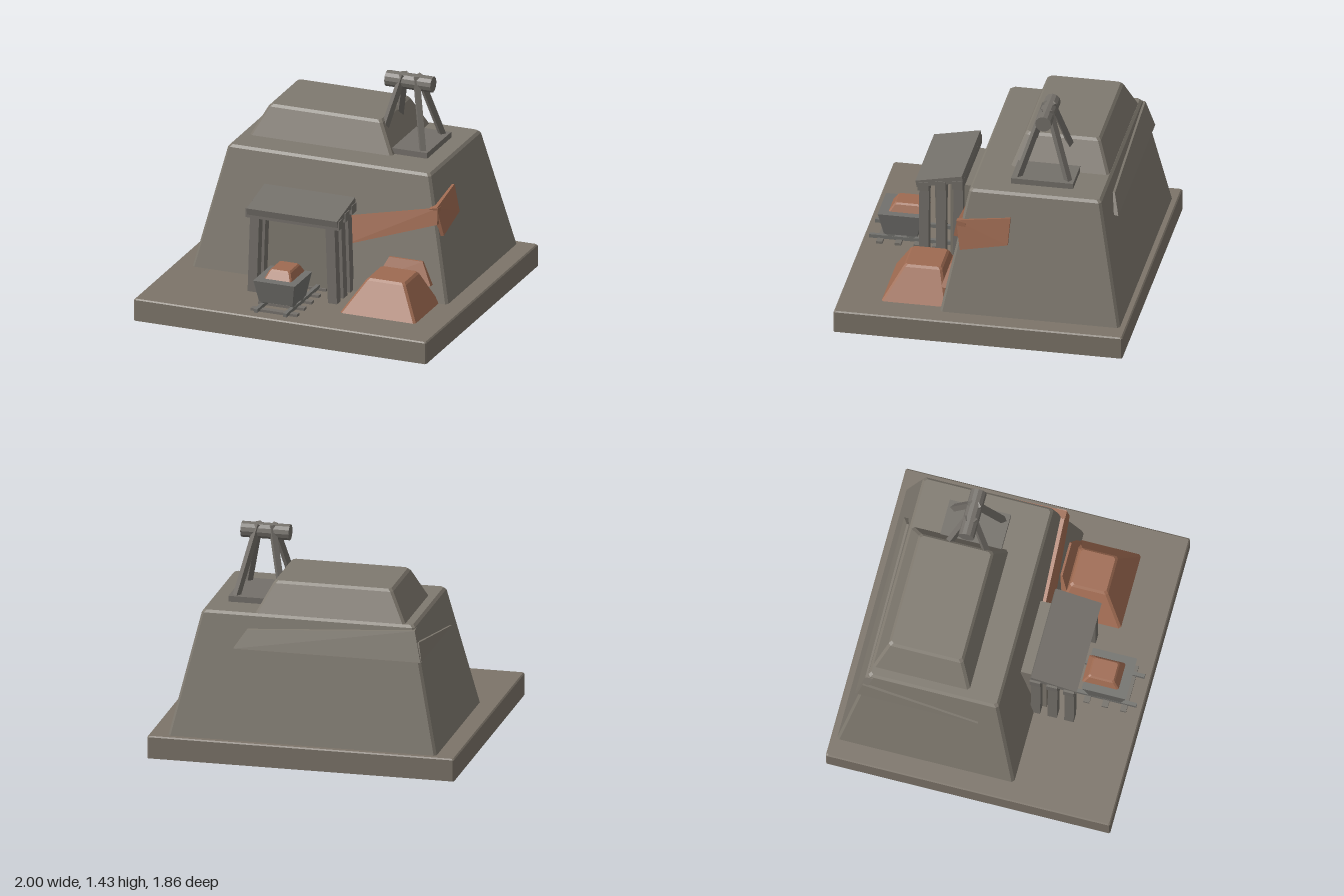
import * as THREE from 'three';
import { ConvexGeometry } from 'three/addons/geometries/ConvexGeometry.js';

const V = (x, y, z) => new THREE.Vector3(x, y, z);

export function createModel() {
  const root = new THREE.Group();
  root.name = 'mine';
  const mat = (name, color) => {
    const m = new THREE.MeshStandardMaterial({ color, flatShading: true });
    m.name = name;
    return m;
  };
  const earth = mat('earth', 0x7c7469);
  const rock = mat('rock', 0x7f796f);
  const timber = mat('timber', 0x74706a);
  const iron = mat('iron', 0x72716d);
  const copper = mat('copper ore', 0x9e6a51);

  const add = (name, geometry, material, parent = root) => {
    const mesh = new THREE.Mesh(geometry, material);
    mesh.name = name;
    parent.add(mesh);
    return mesh;
  };
  const group = (name) => {
    const g = new THREE.Group();
    g.name = name;
    root.add(g);
    return g;
  };
  const box = (name, x0, x1, y0, y1, z0, z1, material, parent) => {
    const m = add(name, new THREE.BoxGeometry(x1 - x0, y1 - y0, z1 - z0), material, parent);
    m.position.set((x0 + x1) / 2, (y0 + y1) / 2, (z0 + z1) / 2);
    return m;
  };

  // Rectangle ring [x0, x1, z0, z1] at height y with chamfered corners
  const ring = ([x0, x1, z0, z1], y, c) => [
    V(x0 + c, y, z0), V(x1 - c, y, z0), V(x1, y, z0 + c), V(x1, y, z1 - c),
    V(x1 - c, y, z1), V(x0 + c, y, z1), V(x0, y, z1 - c), V(x0, y, z0 + c)];
  // Tapered block with a small chamfer round the top and down the corners
  const frustum = (name, bottom, y0, top, y1, b, material, parent) => {
    const inset = [top[0] + b, top[1] - b, top[2] + b, top[3] - b];
    return add(name, new ConvexGeometry([
      ...ring(bottom, y0, b), ...ring(top, y1 - b, b), ...ring(inset, y1, b)]), material, parent);
  };
  // Slab from four outer corners, thickened by an offset vector
  const slab = (name, corners, offset, material, parent) => {
    const pts = corners.map((c) => V(...c));
    return add(name, new ConvexGeometry([...pts, ...pts.map((p) => p.clone().add(offset))]), material, parent);
  };
  // Square beam between two points
  const beam = (name, a, b, w, material, parent) => {
    const m = add(name, new THREE.BoxGeometry(w, w, a.distanceTo(b)), material, parent);
    m.position.copy(a).add(b).multiplyScalar(0.5);
    m.lookAt(b);
    return m;
  };

  // Ground and hill
  frustum('ground', [-1, 1, -0.93, 0.93], 0, [-1, 1, -0.93, 0.93], 0.148, 0.008, earth);
  frustum('lowerHill', [-0.875, 0.875, -0.89, 0.27], 0.145, [-0.695, 0.695, -0.735, 0.118], 0.95, 0.016, rock);
  frustum('upperHill', [-0.63, 0.35, -0.72, -0.085], 0.945, [-0.53, 0.25, -0.645, -0.155], 1.15, 0.016, rock);

  // Rock ledges on the back and on the right flank
  slab('backLedge', [[0.47, 0.73, -0.803], [-0.75, 0.73, -0.803], [-0.7, 0.92, -0.75], [0.39, 0.85, -0.765]],
    V(0, 0.01, 0.05), rock);
  slab('sideLedge', [[-0.754, 0.73, -0.79], [-0.754, 0.73, 0], [-0.73, 0.85, -0.76]], V(0.04, 0, 0), rock);

  // Copper vein wrapping the front left corner
  const vein = group('copperVein');
  slab('frontVein', [[0.16, 0.62, 0.2], [0.77, 0.755, 0.18], [0.775, 0.65, 0.2], [0.16, 0.44, 0.245]],
    V(0, -0.01, -0.06), copper, vein);
  slab('sideVein', [[0.765, 0.755, 0.185], [0.745, 0.795, -0.16], [0.785, 0.62, -0.15], [0.803, 0.565, 0.155]],
    V(-0.05, -0.01, 0), copper, vein);

  // Ore heap and the flake resting on the slope behind it
  const heap = group('oreHeap');
  frustum('heap', [0.295, 0.815, 0.235, 0.66], 0.145, [0.425, 0.695, 0.29, 0.54], 0.36, 0.014, copper, heap);
  slab('oreFlake', [[0.39, 0.26, 0.29], [0.765, 0.26, 0.285], [0.69, 0.4, 0.235], [0.46, 0.4, 0.235]],
    V(0, 0, -0.06), copper, heap);

  // Winding headframe
  const head = group('headframe');
  box('framePlate', 0.33, 0.57, 0.945, 0.988, -0.53, -0.13, timber, head);
  for (const sx of [-1, 1]) for (const sz of [-1, 1]) {
    beam('frameLeg', V(0.375 + sx * 0.155, 0.96, -0.33 + sz * 0.168),
      V(0.375 + sx * 0.047, 1.418, -0.33 + sz * 0.02), 0.036, timber, head);
  }
  const drum = add('drum', new THREE.CylinderGeometry(0.052, 0.052, 0.315, 12), timber, head);
  drum.rotation.z = Math.PI / 2;
  drum.position.set(0.372, 1.375, -0.33);

  // Mine entrance: tunnel block, three timber frames and a sloping roof
  const portal = group('mineEntrance');
  box('tunnelBlock', -0.33, 0.165, 0.145, 0.68, 0.17, 0.34, rock, portal);
  [[0.5, 0.65], [0.39, 0.667], [0.28, 0.68]].forEach(([z, y]) => {
    box('crossbeam', -0.4, 0.24, y, y + 0.06, z - 0.035, z + 0.035, timber, portal);
    for (const s of [-1, 1]) {
      beam('post', V(-0.08 + s * 0.275, 0.145, z), V(-0.08 + s * 0.258, y + 0.01, z), 0.062, timber, portal);
    }
  });
  const roof = box('roof', -0.385, 0.235, 0.702, 0.747, 0.245, 0.55, timber, portal);
  roof.rotation.x = 0.2;

  // Track
  const track = group('track');
  for (let z = 0.335; z < 0.85; z += 0.12) {
    box('sleeper', -0.24, 0.078, 0.145, 0.165, z - 0.02, z + 0.02, timber, track);
  }
  for (const x of [-0.183, 0.018]) {
    box('rail', x - 0.012, x + 0.012, 0.16, 0.184, 0.3, 0.89, iron, track);
  }

  // Ore cart
  const cart = group('oreCart');
  slab('cartBody', [[-0.2, 0.2, 0.575], [0.035, 0.2, 0.575], [0.06, 0.35, 0.54], [-0.225, 0.35, 0.54]],
    V(0, 0, 0.22), iron, cart).geometry = new ConvexGeometry([
    ...ring([-0.2, 0.035, 0.575, 0.795], 0.2, 0.004), ...ring([-0.225, 0.06, 0.54, 0.83], 0.35, 0.004)]);
  for (const x of [-0.183, 0.018]) for (const z of [0.62, 0.75]) {
    const wheel = add('wheel', new THREE.CylinderGeometry(0.032, 0.032, 0.022, 10), iron, cart);
    wheel.rotation.z = Math.PI / 2;
    wheel.position.set(x, 0.208, z);
  }
  frustum('cartLoad', [-0.18, 0.015, 0.53, 0.775], 0.34, [-0.155, -0.01, 0.563, 0.737], 0.405, 0.01, copper, cart);

  return root;
}
